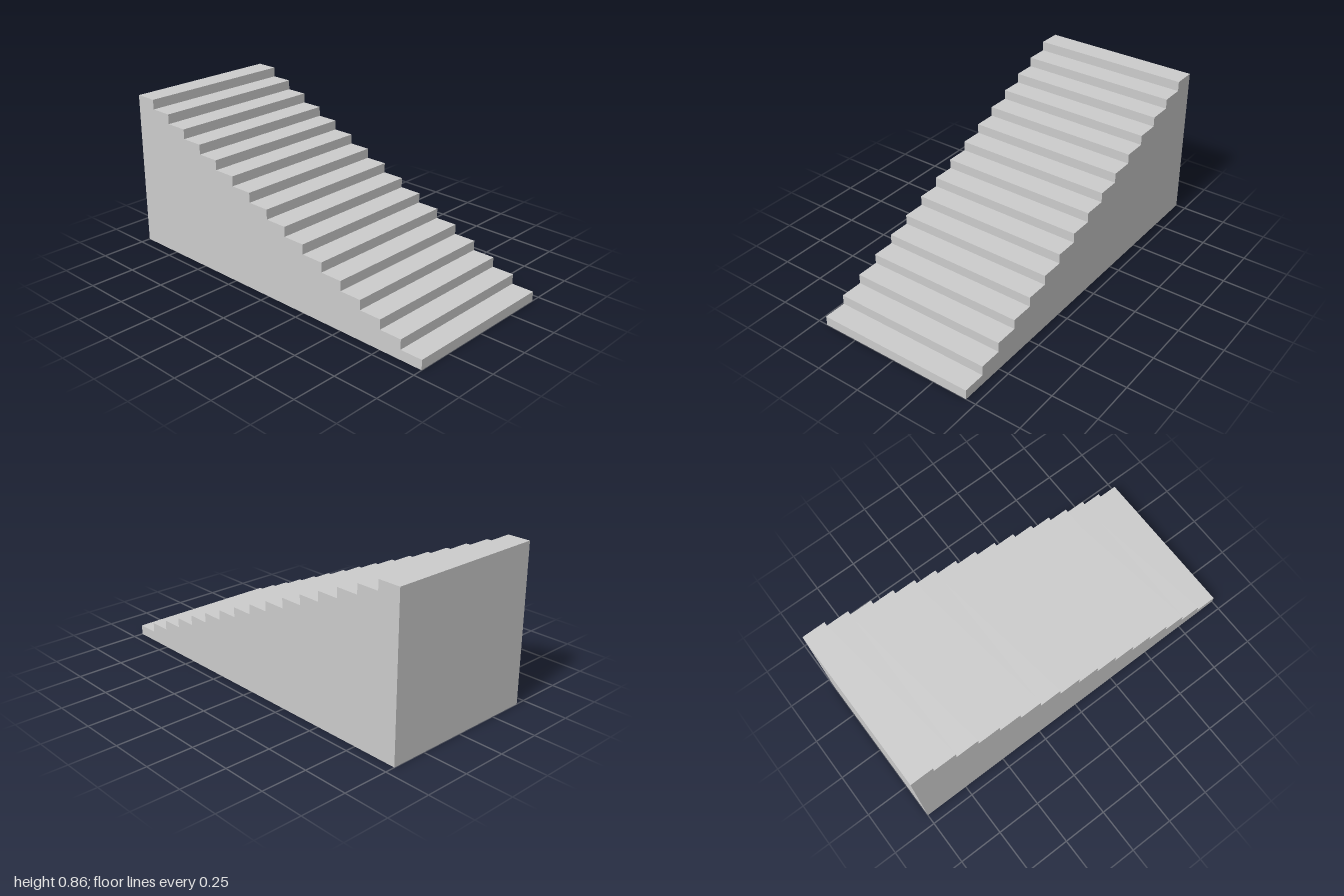
import * as THREE from 'three';

const STEPS = 16;
const WIDTH = 0.89, HEIGHT = 0.86, DEPTH = 2;

export function createModel() {
  const group = new THREE.Group();
  group.name = 'staircase';

  // Side profile: flat base, upright back, stepped top
  const tread = DEPTH / STEPS, riser = HEIGHT / STEPS;
  const profile = new THREE.Shape();
  profile.moveTo(-DEPTH / 2, 0);
  profile.lineTo(DEPTH / 2, 0);
  for (let i = STEPS; i > 0; i--) {
    profile.lineTo(-DEPTH / 2 + i * tread, i * riser);
    profile.lineTo(-DEPTH / 2 + (i - 1) * tread, i * riser);
  }
  profile.closePath();

  // Extrude across the width, then turn so the lowest step faces +z
  const geometry = new THREE.ExtrudeGeometry(profile, { depth: WIDTH, bevelEnabled: false });
  geometry.translate(0, 0, -WIDTH / 2);
  geometry.rotateY(Math.PI / 2);

  const steps = new THREE.Mesh(geometry, new THREE.MeshStandardMaterial({ color: 0xcccccc }));
  steps.name = 'solidSteps';
  group.add(steps);
  return group;
}
